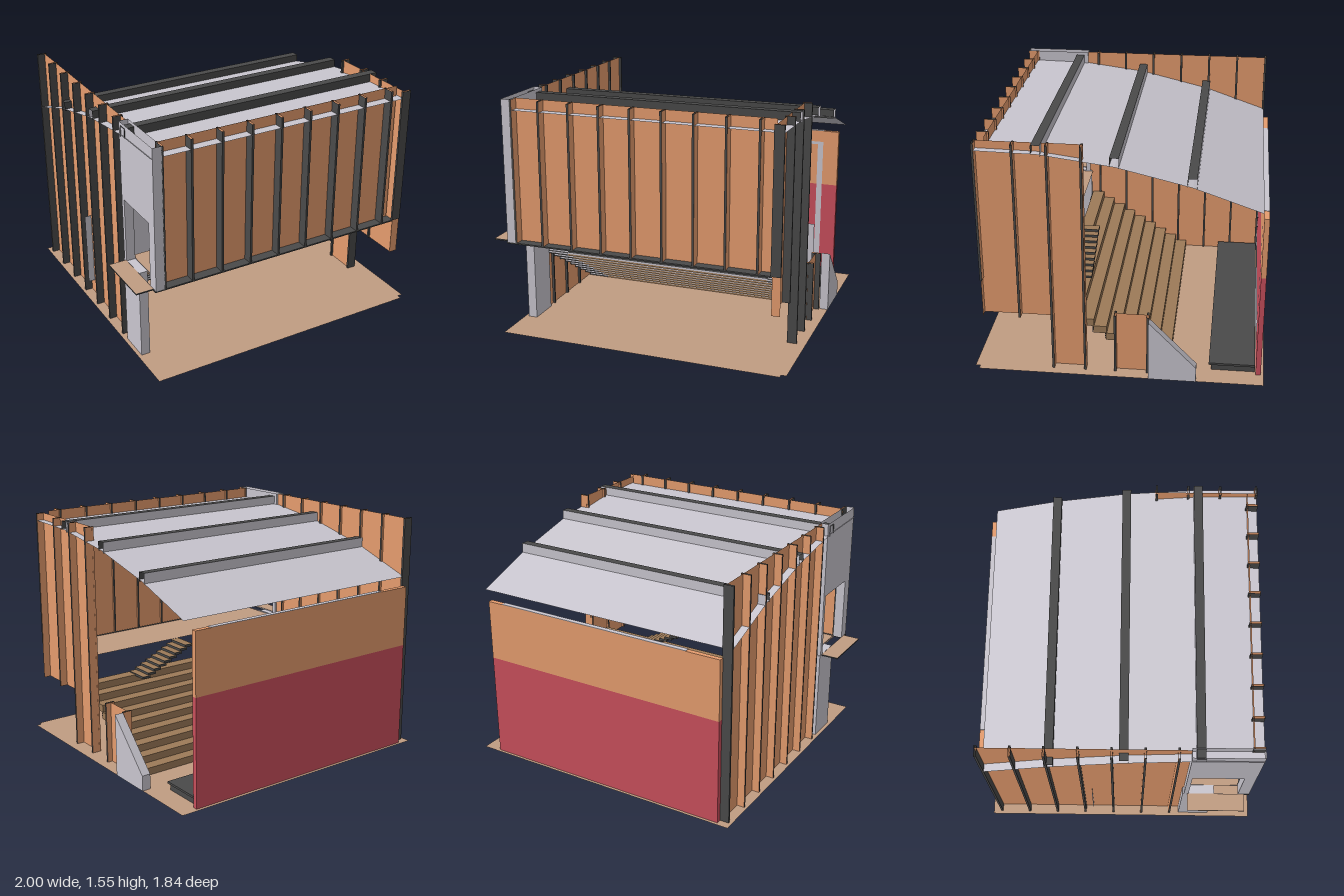
import * as THREE from 'three';

const mat = (name, color, side = THREE.DoubleSide) => {
  const m = new THREE.MeshStandardMaterial({ color, side });
  m.name = name;
  return m;
};

export function createModel() {
  const root = new THREE.Group();
  root.name = 'pavilionHouse';
  const orange = mat('copperOrange', 0xe59c6e);
  const dark = mat('darkSteel', 0x4a4a4a);
  const grey = mat('concreteGrey', 0xc9c6cf);
  const greyFace = mat('concreteGreyFace', 0xc9c6cf, THREE.FrontSide);
  const tan = mat('earthTan', 0xc09c82);
  const wood = mat('stairWood', 0x9c7a58);
  const red = mat('brickRed', 0xc94f5c);

  const add = (name, geo, material) => {
    const m = new THREE.Mesh(geo, material);
    m.name = name;
    root.add(m);
    return m;
  };
  // Box from its limits along each axis
  const box = (name, material, x0, x1, y0, y1, z0, z1) => {
    const m = add(name, new THREE.BoxGeometry(x1 - x0, y1 - y0, z1 - z0), material);
    m.position.set((x0 + x1) / 2, (y0 + y1) / 2, (z0 + z1) / 2);
    return m;
  };
  // Thin sheets facing z, x and y
  const sheetZ = (name, material, x0, x1, y0, y1, z) => {
    const m = add(name, new THREE.PlaneGeometry(x1 - x0, y1 - y0), material);
    m.position.set((x0 + x1) / 2, (y0 + y1) / 2, z);
    return m;
  };
  const sheetX = (name, material, z0, z1, y0, y1, x) => {
    const m = add(name, new THREE.PlaneGeometry(z1 - z0, y1 - y0), material);
    m.rotation.y = Math.PI / 2;
    m.position.set(x, (y0 + y1) / 2, (z0 + z1) / 2);
    return m;
  };
  const sheetY = (name, material, x0, x1, z0, z1, y) => {
    const m = add(name, new THREE.PlaneGeometry(x1 - x0, z1 - z0), material);
    m.rotation.x = -Math.PI / 2;
    m.position.set((x0 + x1) / 2, y, (z0 + z1) / 2);
    return m;
  };
  const framed = (outer, hole) => {
    const rect = (p, [a, b, c, d]) => p.moveTo(a, c).lineTo(b, c).lineTo(b, d).lineTo(a, d).closePath();
    const s = rect(new THREE.Shape(), outer);
    s.holes.push(rect(new THREE.Path(), hole));
    return new THREE.ShapeGeometry(s);
  };
  // Uncapped cladding fins: dark edges, one dark and one copper side
  const T = 0.007;
  const sideFin = (z, x0, x1, y0, y1, back = orange) => {
    sheetZ('finFront', dark, x0, x1, y0, y1, z + T);
    sheetZ('finBack', back, x0, x1, y0, y1, z - T);
    for (const x of [x0, x1]) sheetX('finEdge', dark, z - T, z + T, y0, y1, x);
  };
  const frontFin = (x) => {
    sheetX('finLeft', orange, 0.78, 0.855, 0.61, 1.55, x + T);
    sheetX('finRight', dark, 0.78, 0.855, 0.61, 1.55, x - T);
    for (const z of [0.78, 0.855]) sheetZ('finEdge', dark, x - T, x + T, 0.61, 1.55, z);
  };

  // Ground
  sheetY('ground', tan, -0.91, 0.96, -0.925, 0.915, 0.001);
  sheetY('groundStrip', tan, 0.96, 0.995, -0.925, 0.885, 0.001);

  // Folded roof sheet, falling towards the back
  const profile = [[0.855, 1.482], [0.47, 1.475], [0.01, 1.415], [-0.45, 1.305], [-0.87, 1.16]];
  const roof = new THREE.PlaneGeometry(1.825, 1, 1, profile.length - 1);
  const p = roof.attributes.position;
  for (let i = 0; i < p.count; i++) {
    const [z, y] = profile[profile.length - 1 - Math.floor(i / 2)];
    p.setXYZ(i, p.getX(i) + 0.0225, y, z);
  }
  const flatRoof = roof.toNonIndexed();
  flatRoof.computeVertexNormals();
  add('roof', flatRoof, grey);

  // Open channel beams on the roof
  for (const [z, y] of [[0.475, 1.53], [0.013, 1.47], [-0.446, 1.36]]) {
    sheetY('beamTop', dark, -0.89, 0.935, z - 0.028, z + 0.028, y);
    sheetZ('beamFront', dark, -0.89, 0.935, y - 0.06, y, z + 0.028);
    sheetZ('beamBack', grey, -0.89, 0.935, y - 0.07, y, z - 0.028);
  }

  // Front cladding with upright fins
  sheetZ('frontPanel', orange, -0.83, 0.875, 0.61, 1.55, 0.79);
  for (let i = 0; i < 9; i++) frontFin(Math.max(0.789 - i * 0.203, -0.822));
  box('frontSill', dark, -0.89, 0.88, 0.603, 0.612, 0.785, 0.855);

  // Right-hand wall (-x) with fins through it
  sheetX('longSideWall', orange, -0.87, 0.42, 0, 1.55, -0.84);
  for (let i = 0; i < 7; i++) {
    sideFin(-0.865 + i * 0.2015, -0.89, -0.825, 0, 1.55, i === 0 ? dark : orange);
  }

  // Concrete bay with door opening, pier and balcony
  const bay = framed([0.42, 0.855, 0.61, 1.55], [0.45, 0.78, 0.615, 1.04]);
  for (const x of [-0.885, -0.825]) {
    const m = add('bayWall', bay, grey);
    m.rotation.y = -Math.PI / 2;
    m.position.x = x;
  }
  sheetZ('bayFront', grey, -0.885, -0.825, 0.61, 1.55, 0.855);
  sheetZ('bayBack', grey, -0.885, -0.825, 0.61, 1.55, 0.42);
  for (const z of [0.45, 0.78]) sheetZ('doorJamb', grey, -0.885, -0.825, 0.61, 1.04, z);
  sheetY('doorHead', grey, -0.885, -0.825, 0.45, 0.78, 1.04);
  box('bayPier', grey, -0.885, -0.825, 0, 0.61, 0.41, 0.62);
  box('balconySlab', dark, -1, -0.885, 0.603, 0.611, 0.44, 0.82);
  sheetY('balconyDeck', tan, -1, -0.885, 0.44, 0.82, 0.613);

  // Upper floor
  sheetY('upperFloor', tan, -0.83, 0.875, 0.4, 0.79, 0.607);

  // Left-hand cladding (+x), stepped at the bottom
  sheetX('sidePanel', orange, 0.41, 0.85, 0.36, 1.53, 0.885);
  sheetX('sidePanelLong', orange, 0.2, 0.41, 0, 1.53, 0.885);
  sideFin(0.85, 0.872, 0.935, 0.61, 1.53);
  sheetZ('sideFinFoot', orange, 0.88, 0.935, 0.36, 0.61, 0.85);
  sideFin(0.617, 0.872, 0.935, 0.36, 1.53);
  for (const z of [0.412, 0.208]) sideFin(z, 0.872, 0.935, 0, 1.53);

  // Low entrance screen and sloping concrete cheek
  sheetX('entranceScreen', orange, -0.195, 0.025, 0, 0.41, 0.9);
  for (const z of [0.015, -0.19]) sideFin(z, 0.872, 0.935, 0, 0.41);
  const cheek = new THREE.Shape([[0.2, 0], [0.5, 0], [0.5, 0.1], [0.2, 0.41]].map((a) => new THREE.Vector2(...a)));
  const cheekMesh = add('entranceCheek', new THREE.ExtrudeGeometry(cheek, { depth: 0.058, bevelEnabled: false }), grey);
  cheekMesh.rotation.y = Math.PI / 2;
  cheekMesh.position.x = 0.938;

  // Cross wall behind the steps
  sheetZ('crossWall', greyFace, -0.885, 0.88, 0.1, 0.61, -0.2);

  // Wide open steps falling towards the back, with striped faces
  for (let i = 0; i < 9; i++) {
    const y = 0.437 - i * 0.0485;
    const z = 0.4 - i * 0.08;
    box('wideStep', wood, -0.83, 0.875, y - 0.0485, y, z - 0.085, z);
    sheetZ('stepShadowGap', dark, -0.83, 0.875, y - 0.026, y - 0.008, z + 0.002);
    sheetZ('stepNosing', grey, -0.83, 0.875, y - 0.036, y - 0.026, z + 0.002);
    for (const x of [-0.83, 0.73]) {
      sheetZ('stepEndGrey', grey, x, x + 0.145, y - 0.046, y - 0.003, z + 0.004);
      for (const d of [0.01, 0.026, 0.042]) {
        sheetZ('stepEndSlat', dark, x, x + 0.145, y - d - 0.004, y - d + 0.005, z + 0.006);
      }
    }
  }

  // Narrow flight from the upper floor down to the wide steps
  for (let i = 0; i < 9; i++) {
    const x = 0.1 + i * 0.044;
    const y = 0.61 - i * 0.0205;
    box('tread', dark, x, x + 0.06, y - 0.018, y - 0.002, 0.22, 0.39);
    sheetY('treadTop', wood, x, x + 0.06, 0.22, 0.39, y);
  }

  // Back wall in two colours with a pale capping
  box('backWallLower', red, -0.83, 0.88, 0, 0.7, -0.906, -0.873);
  box('backWallUpper', orange, -0.83, 0.88, 0.7, 1.1, -0.906, -0.873);
  box('backWallCap', grey, -0.6, 0.77, 1.1, 1.103, -0.906, -0.873);
  const frame = add('innerFrame', framed([-0.72, 0.77, 0.06, 1.02], [-0.68, 0.73, 0.27, 1.0]), grey);
  frame.position.z = -0.869;

  // Low platform along the back wall
  box('platformBase', dark, -0.82, 0.85, 0.002, 0.042, -0.868, -0.59);
  box('platformTop', dark, -0.82, 0.86, 0.042, 0.056, -0.868, -0.575);

  return root;
}
